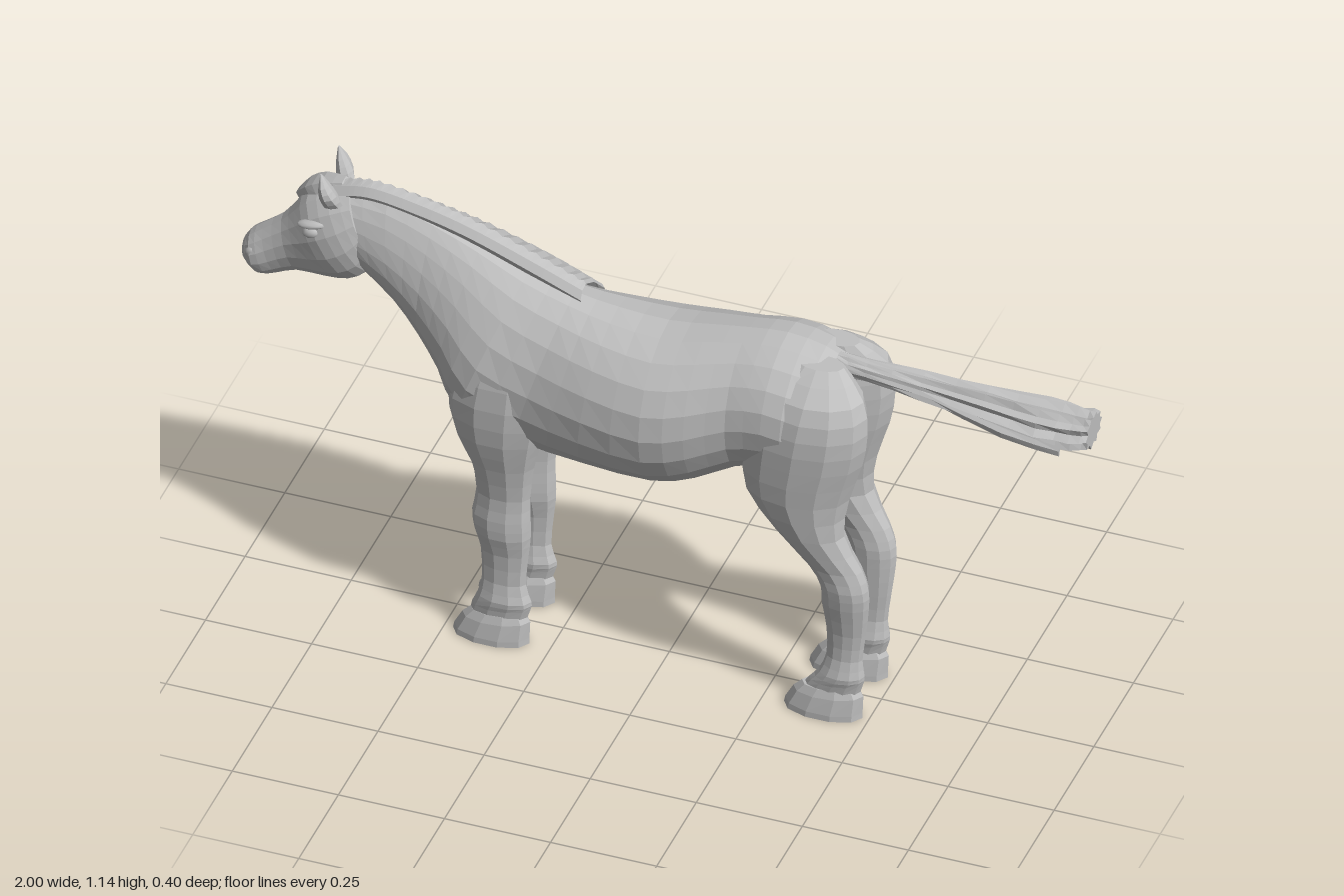
import * as THREE from 'three';

// Seeded jitter in -1..1 for hair strands
const noise = (i, k = 0) => {
  const s = Math.sin(i * 127.1 + k * 311.7 + 4.2) * 43758.5453;
  return (s - Math.floor(s)) * 2 - 1;
};

// Catmull-Rom interpolation between rows of numbers
function refine(rows, steps) {
  const out = [];
  const at = i => rows[Math.max(0, Math.min(rows.length - 1, i))];
  for (let i = 0; i < rows.length - 1; i++) {
    for (let s = 0; s < steps; s++) {
      const t = s / steps;
      out.push(rows[i].map((p1, k) => {
        const p0 = at(i - 1)[k], p2 = at(i + 1)[k], p3 = at(i + 2)[k];
        return p1 + 0.5 * t * (p2 - p0 + t * (2 * p0 - 5 * p1 + 4 * p2 - p3 + t * (3 * (p1 - p2) + p3 - p0)));
      }));
    }
  }
  out.push(rows[rows.length - 1]);
  return out;
}

// Faceted geometry from a grid of points, optionally closed around and capped
function skin(rings, closed) {
  const pos = [], idx = [], n = rings[0].length;
  rings.forEach(r => r.forEach(p => pos.push(...p)));
  for (let i = 0; i < rings.length - 1; i++) {
    for (let j = 0; j < (closed ? n : n - 1); j++) {
      const a = i * n + j, b = i * n + (j + 1) % n;
      idx.push(a, b, b + n, a, b + n, a + n);
    }
  }
  if (closed) {
    [0, rings.length - 1].forEach(i => {
      const c = pos.length / 3;
      pos.push(...[0, 1, 2].map(k => rings[i].reduce((s, p) => s + p[k], 0) / n));
      for (let j = 0; j < n; j++) {
        const a = i * n + j, b = i * n + (j + 1) % n;
        idx.push(...(i === 0 ? [c, b, a] : [c, a, b]));
      }
    });
  }
  const g = new THREE.BufferGeometry();
  g.setAttribute('position', new THREE.Float32BufferAttribute(pos, 3));
  g.setIndex(idx);
  const flat = g.toNonIndexed();
  flat.computeVertexNormals();
  return flat;
}

// Loft through rows [topX, topY, bottomX, bottomY, halfWidth, centreZ, taper]
function loft(rows, sides, steps = 2, ripple = () => 1) {
  const full = rows.map(r => [...r, 0, 0].slice(0, 7));
  return skin(refine(full, steps).map(([ax, ay, bx, by, w, cz, taper], i) =>
    Array.from({ length: sides }, (_, j) => {
      const t = j / sides * Math.PI * 2, f = ripple(j, i);
      const c = Math.cos(t) * f, s = Math.sin(t) * f * (1 - taper * Math.cos(t));
      return [(ax + bx) / 2 + c * (ax - bx) / 2, (ay + by) / 2 + c * (ay - by) / 2, cz + s * w];
    })), true);
}

export function createModel() {
  const horse = new THREE.Group();
  horse.name = 'horse';
  const coat = new THREE.MeshStandardMaterial({ color: 0xc0c0c0, side: THREE.DoubleSide });
  coat.name = 'light grey';
  const add = (name, geometry) => {
    const m = new THREE.Mesh(geometry, coat);
    m.name = name;
    horse.add(m);
    return m;
  };

  // Neck and barrel in one skin, from throat to rump
  add('neckAndBody', loft([
    [-.76, 1.08, -.70, .87, .055, 0, .1],
    [-.66, 1.08, -.63, .81, .065, 0, .25],
    [-.55, 1.05, -.575, .74, .08, 0, .3],
    [-.44, 1.01, -.525, .67, .11, 0, .3],
    [-.33, .965, -.475, .58, .145, 0, .25],
    [-.22, .935, -.34, .525, .15, 0, .1],
    [-.12, .92, -.17, .515, .178, 0, .05],
    [0, .915, 0, .515, .198],
    [.1, .93, .1, .545, .185],
    [.19, .945, .19, .595, .163],
    [.28, .955, .27, .62, .168],
    [.37, .94, .36, .61, .16],
    [.44, .905, .42, .64, .08],
  ], 20));

  // Head, from muzzle to poll
  add('head', loft([
    [-1.0, .885, -.993, .83, .028],
    [-.985, .91, -.96, .802, .046],
    [-.955, .935, -.918, .812, .044],
    [-.91, .972, -.87, .832, .046],
    [-.88, 1.012, -.80, .836, .06],
    [-.85, 1.05, -.74, .846, .073],
    [-.80, 1.075, -.70, .875, .07],
    [-.75, 1.085, -.685, .92, .055],
  ], 14));

  // Legs are listed from the ground up: [frontX, y, backX, y, halfWidth, centreZ]
  const row = (front, back, y, w, z = .08, tilt = 0) => [front, y, back, y + tilt, w, z];
  const foreleg = [
    row(-.44, -.31, .055, .027), row(-.435, -.297, .085, .03, .08, .01),
    row(-.422, -.295, .115, .033), row(-.412, -.308, .16, .023),
    row(-.415, -.302, .24, .025), row(-.43, -.297, .29, .036),
    row(-.435, -.297, .34, .037), row(-.425, -.298, .40, .034),
    row(-.438, -.287, .49, .045, .085), row(-.472, -.268, .57, .056, .093),
    row(-.485, -.25, .67, .058, .098), row(-.45, -.26, .78, .042, .1), row(-.40, -.3, .85, .015, .09),
  ];
  const hindLeg = [
    row(.34, .475, .055, .027), row(.36, .487, .085, .031, .08, .01),
    row(.383, .49, .115, .034), row(.40, .485, .16, .023),
    row(.40, .493, .23, .024), row(.39, .502, .31, .033, .085),
    row(.388, .502, .36, .037, .087), row(.36, .488, .41, .037, .088),
    row(.285, .447, .50, .055, .093), row(.212, .457, .60, .076, .088),
    row(.205, .487, .70, .084, .088), row(.22, .5, .79, .085, .088),
    row(.255, .487, .87, .072, .078), row(.32, .43, .93, .03, .05),
  ];
  const hoof = (toe, heel) => [
    row(toe, heel, 0, .042), row(toe + .003, heel, .015, .042),
    row(toe + .022, heel + .002, .05, .036, .08, .01), row(toe + .042, heel - .01, .07, .029, .08, .01),
  ];
  for (const side of [1, -1]) {
    const label = side > 0 ? 'Left' : 'Right';
    const flip = rows => rows.map(r => r.map((v, k) => k === 5 ? v * side : v));
    add('foreleg' + label, loft(flip(foreleg), 10));
    add('hindLeg' + label, loft(flip(hindLeg), 12));
    add('foreHoof' + label, loft(flip(hoof(-.48, -.30)), 10, 1));
    add('hindHoof' + label, loft(flip(hoof(.30, .485)), 10, 1));

    // Ears, leaning slightly outward
    add('ear' + label, loft(flip([
      [-.80, 1.05, -.755, 1.06, .016, .04],
      [-.805, 1.085, -.765, 1.09, .024, .052],
      [-.805, 1.115, -.782, 1.12, .019, .057],
      [-.802, 1.145, -.798, 1.145, .003, .056],
    ]), 8));

    // Eyes with brow ridges, and nostrils
    const bead = (name, x, y, z, sx, sy, sz, turn) => {
      const m = add(name + label, new THREE.IcosahedronGeometry(1, 1));
      m.position.set(x, y, z * side);
      m.scale.set(sx, sy, sz);
      m.rotation.z = turn;
    };
    bead('eye', -.822, .985, .063, .02, .014, .012, .2);
    bead('brow', -.822, 1.004, .058, .035, .01, .016, .15);
    bead('nostril', -.975, .875, .034, .016, .011, .01, .8);
  }

  // Mane: strands arching over the crest and hanging on the right side
  const crest = refine([[-.79, 1.09, .065, .15], [-.70, 1.108, .085, .2], [-.58, 1.09, .105, .21],
    [-.46, 1.058, .125, .215], [-.32, 1.005, .142, .2], [-.2, .956, .14, .15]], 9);
  add('mane', skin(crest.map(([x, y, w, drop], i) => {
    const puff = i % 2 ? .004 : -.004, length = drop + noise(i) * .012;
    return [
      [x, y - .05, .008], [x, y - .022, .026], [x, y - .003, .014], [x, y, -.012 + puff],
      [x, y - .03, -w * .45 + puff], [x + .004, y - .085, -w * .85 + puff],
      [x + .008, y - .14, -w - .006 + puff], [x + .01, y - length, -w - .008 + puff * 2],
      [x + .008, y - length + .01, -w * .8],
    ];
  }), false));

  // Forelock between the ears
  add('forelock', loft([
    [-.885, 1.03, -.86, 1.0, .016, -.02],
    [-.86, 1.062, -.82, 1.02, .035, -.018],
    [-.82, 1.088, -.79, 1.04, .036, -.012],
    [-.77, 1.1, -.74, 1.06, .022, -.004],
  ], 10, 2, (j, i) => 1 + (j % 2 ? .1 : -.1)));

  // Tail streaming straight back, ridged along its strands
  add('tail', loft([
    [.40, .93, .39, .87, .024],
    [.47, .926, .47, .872, .026],
    [.60, .922, .60, .858, .036],
    [.75, .919, .75, .838, .05],
    [.88, .916, .88, .82, .064],
    [.96, .914, .96, .822, .058],
    [1.0, .914, 1.0, .832, .052],
  ], 20, 2, (j, i) => 1 + (j % 2 ? 0 : -.24) * Math.min(1, i / 5) + noise(j, i) * .07));

  // Loose locks beneath the tail end
  for (let i = 0; i < 6; i++) {
    const z = (i - 2.5) * .018, end = .93 + noise(i, 3) * .05;
    add('tailLock', loft([
      [.62, .885, .62, .87, .004, z * .5],
      [.8, .86, .8, .832, .009, z],
      [end, .848, end, .822, .005, z * 1.2],
    ], 5, 2));
  }
  return horse;
}
